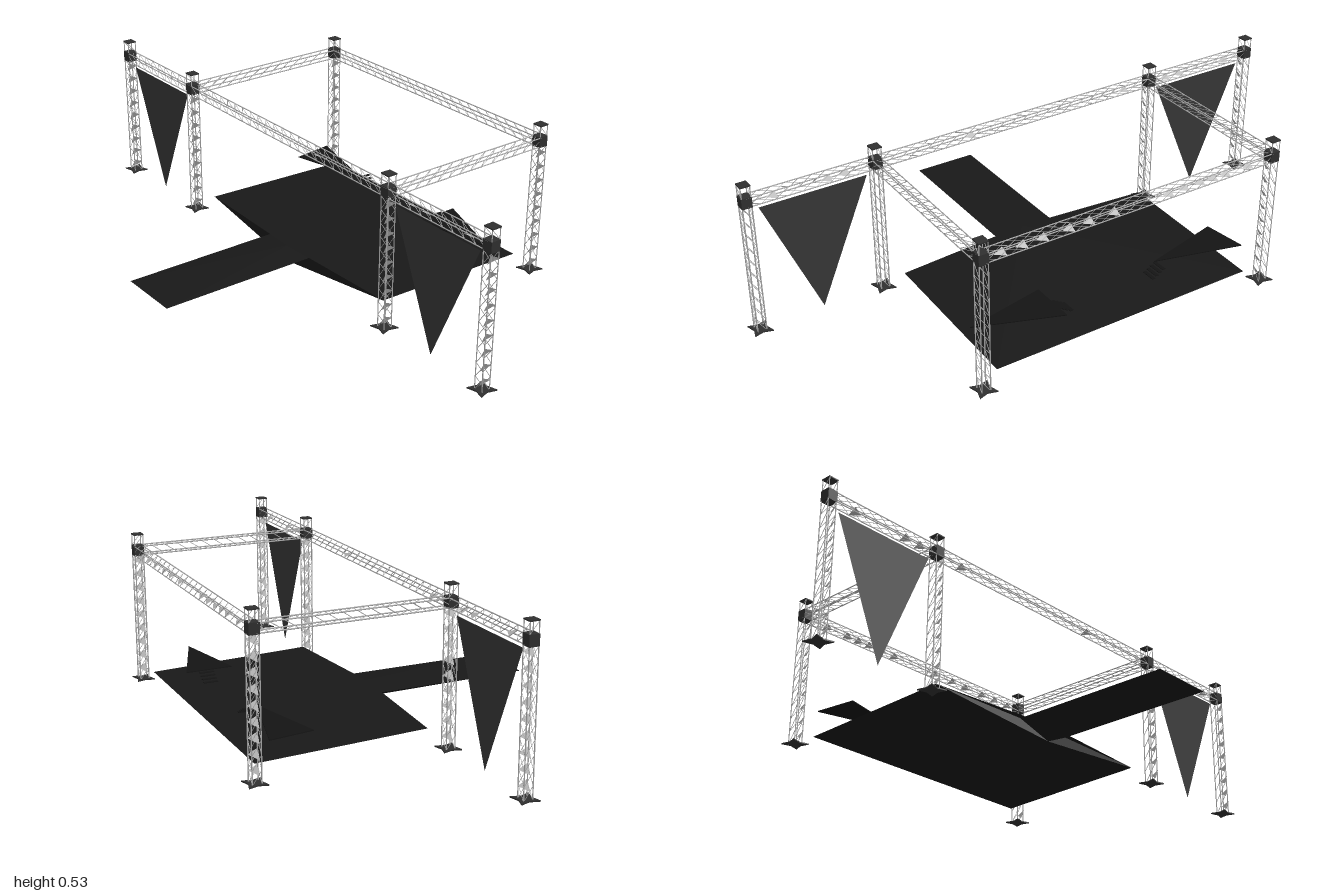
import * as THREE from 'three';
import { mergeGeometries } from 'three/addons/utils/BufferGeometryUtils.js';

const H = 0.015;        // half width of a truss section
const BEAM_Y = 0.467;
const V = (x, y, z) => new THREE.Vector3(x, y, z);

const mat = (name, color, side = THREE.FrontSide) => {
  const m = new THREE.MeshStandardMaterial({ color, side });
  m.name = name;
  return m;
};

// Round bar between two points
function strut(a, b, r) {
  const d = b.clone().sub(a);
  const g = new THREE.CylinderGeometry(r, r, d.length(), 4, 1, true);
  g.applyQuaternion(new THREE.Quaternion().setFromUnitVectors(V(0, 1, 0), d.normalize()));
  return g.translate((a.x + b.x) / 2, (a.y + b.y) / 2, (a.z + b.z) / 2);
}

// Surface from a list of triangles, each given as three points
function facets(tris) {
  const g = new THREE.BufferGeometry().setFromPoints(tris.flat());
  g.computeVertexNormals();
  return g;
}

// Square lattice truss standing on the origin along +y, opposite sides laced in parallel
function trussGeometry(length, step) {
  const corners = [[-H, -H], [H, -H], [H, H], [-H, H]];
  const n = Math.round(length / step), s = length / n, parts = [];
  corners.forEach(([x, z], i) => {
    const [x2, z2] = corners[(i + 1) % 4];
    const rise = i < 2 ? 0 : s;
    parts.push(strut(V(x, 0, z), V(x, length, z), 0.0022));
    for (let k = 0; k < n; k++) {
      parts.push(strut(V(x, k * s + rise, z), V(x2, (k + 1) * s - rise, z2), 0.001));
    }
  });
  return mergeGeometries(parts);
}

export function createModel() {
  const steel = mat('trussSteel', 0xb4b4b4);
  const gusset = mat('gussetSteel', 0xb8b8b8, THREE.DoubleSide);
  const iron = mat('darkFittings', 0x303030);
  const deckMat = mat('deckBlack', 0x181818, THREE.DoubleSide);
  const bannerMat = mat('bannerCharcoal', 0x383838, THREE.DoubleSide);
  const flapMat = mat('flapBlack', 0x141414);

  const model = new THREE.Group();
  const add = (name, geo, material, parent = model) => {
    const m = new THREE.Mesh(geo, material);
    m.name = name;
    parent.add(m);
    return m;
  };

  // Towers: lattice, gussets, corner block, top cage and star foot
  const towerGeo = trussGeometry(0.45, 0.045);
  const gussetTris = [];
  for (let k = 0; k < 9; k++) {
    const y = 0.035 + k * 0.049;
    gussetTris.push([V(H + 0.003, y + 0.018, H + 0.002), V(0.003, y - 0.016, H + 0.002), V(H + 0.003, y + 0.002, -H)]);
  }
  const gussetGeo = facets(gussetTris);
  const star = new THREE.Shape();
  for (let i = 0; i < 8; i++) {
    const r = i % 2 ? 0.022 : 0.044, a = Math.PI / 4 * (i + 1);
    star[i ? 'lineTo' : 'moveTo'](r * Math.cos(a), r * Math.sin(a));
  }
  const footGeo = new THREE.ExtrudeGeometry(star, { depth: 0.004, bevelEnabled: false }).rotateX(-Math.PI / 2);
  const capGeo = new THREE.BoxGeometry(0.034, 0.004, 0.034);
  const posts = [];
  for (const x of [-H, H]) for (const z of [-H, H]) posts.push(strut(V(x, 0.48, z), V(x, 0.523, z), 0.002));
  for (const x of [-H, H]) posts.push(strut(V(x, 0.485, -H), V(x, 0.521, H), 0.001));
  const cageGeo = mergeGeometries(posts);
  const blockGeo = new THREE.BoxGeometry(0.034, 0.036, 0.034);

  const FRONT = 0.075, BACK = -0.56;
  const spots = [[-0.967, FRONT], [-0.535, FRONT], [0.528, FRONT], [0.96, FRONT], [-0.535, BACK], [0.528, BACK]];
  for (const [x, z] of spots) {
    const t = new THREE.Group();
    t.name = 'tower';
    t.position.set(x, 0, z);
    add('towerLattice', towerGeo, steel, t);
    add('towerGussets', gussetGeo, gusset, t);
    add('cornerBlock', blockGeo, iron, t).position.y = BEAM_Y;
    add('topCage', cageGeo, steel, t);
    add('topCap', capGeo, iron, t).position.y = 0.523;
    add('foot', footGeo, iron, t);
    model.add(t);
  }

  // Horizontal beams
  function beam(name, from, to) {
    const d = to.clone().sub(from);
    const m = add(name, trussGeometry(d.length(), 0.045), steel);
    m.position.copy(from);
    m.quaternion.setFromUnitVectors(V(0, 1, 0), d.normalize());
  }
  beam('frontBeam', V(-0.967, BEAM_Y, FRONT), V(0.96, BEAM_Y, FRONT));
  beam('backBeam', V(-0.535, BEAM_Y, BACK), V(0.528, BEAM_Y, BACK));
  for (const x of [-0.535, 0.528]) beam('sideBeam', V(x, BEAM_Y, BACK), V(x, BEAM_Y, FRONT));

  // Gusset plates along the front and back beams
  const beamTris = [];
  const plate = (x, z) => beamTris.push(
    [V(x, BEAM_Y - H, z - H), V(x, BEAM_Y, z + H), V(x + 0.035, BEAM_Y - H / 2, z)]);
  for (const x of [-0.88, -0.68, -0.62, -0.44, 0.17, 0.62, 0.68, 0.86]) plate(x, FRONT);
  for (const x of [-0.45, -0.36, -0.31, -0.26, -0.2, -0.14, 0.06, 0.15, 0.22, 0.31, 0.38, 0.45]) plate(x, BACK);
  add('beamGussets', facets(beamTris), gusset);

  // Hanging pennants
  for (const x of [-0.75, 0.74]) {
    add('banner', facets([[V(x - 0.18, 0.432, FRONT), V(x, 0.006, FRONT), V(x + 0.18, 0.432, FRONT)]]), bannerMat);
  }

  // Stage with runway: T outline fanned to a high point above and a low point below
  const outline = [
    V(-0.48, 0.038, -0.54), V(-0.48, 0.054, 0.033), V(-0.115, 0.054, 0.043), V(-0.115, 0.053, 0.6),
    V(0.105, 0.053, 0.6), V(0.105, 0.054, 0.043), V(0.47, 0.054, 0.033), V(0.47, 0.038, -0.54)];
  const top = V(0, 0.062, 0.06), bottom = V(0, 0.004, 0.06);
  const deck = [];
  outline.forEach((p, i) => {
    const q = outline[(i + 1) % outline.length];
    deck.push([p, q, top], [q, p, bottom]);
  });
  add('stageDeck', facets(deck), deckMat);

  // Staggered slats floating over the rear of the deck
  for (const x of [-0.185, 0.172]) {
    for (let k = 0; k < 4; k++) {
      const slat = add('slat', new THREE.BoxGeometry(0.012, 0.002, 0.05), flapMat);
      slat.position.set(x + Math.sign(x) * (k - 1.5) * 0.013, 0.083 + k * 0.0075, -0.442);
    }
  }

  // Thin flaps beside the slats, outlined in x and z
  function flap(name, points) {
    const shape = new THREE.Shape(points.map(([x, z]) => new THREE.Vector2(x, -z)));
    const geo = new THREE.ExtrudeGeometry(shape, { depth: 0.003, bevelEnabled: false });
    add(name, geo.rotateX(-Math.PI / 2), flapMat).position.y = 0.109;
  }
  flap('leftFlap', [[0.2, -0.51], [0.2, -0.35], [0.48, -0.405]]);
  flap('rightFlap', [[-0.5, -0.5], [-0.48, -0.35], [-0.2, -0.42]]);
  return model;
}
